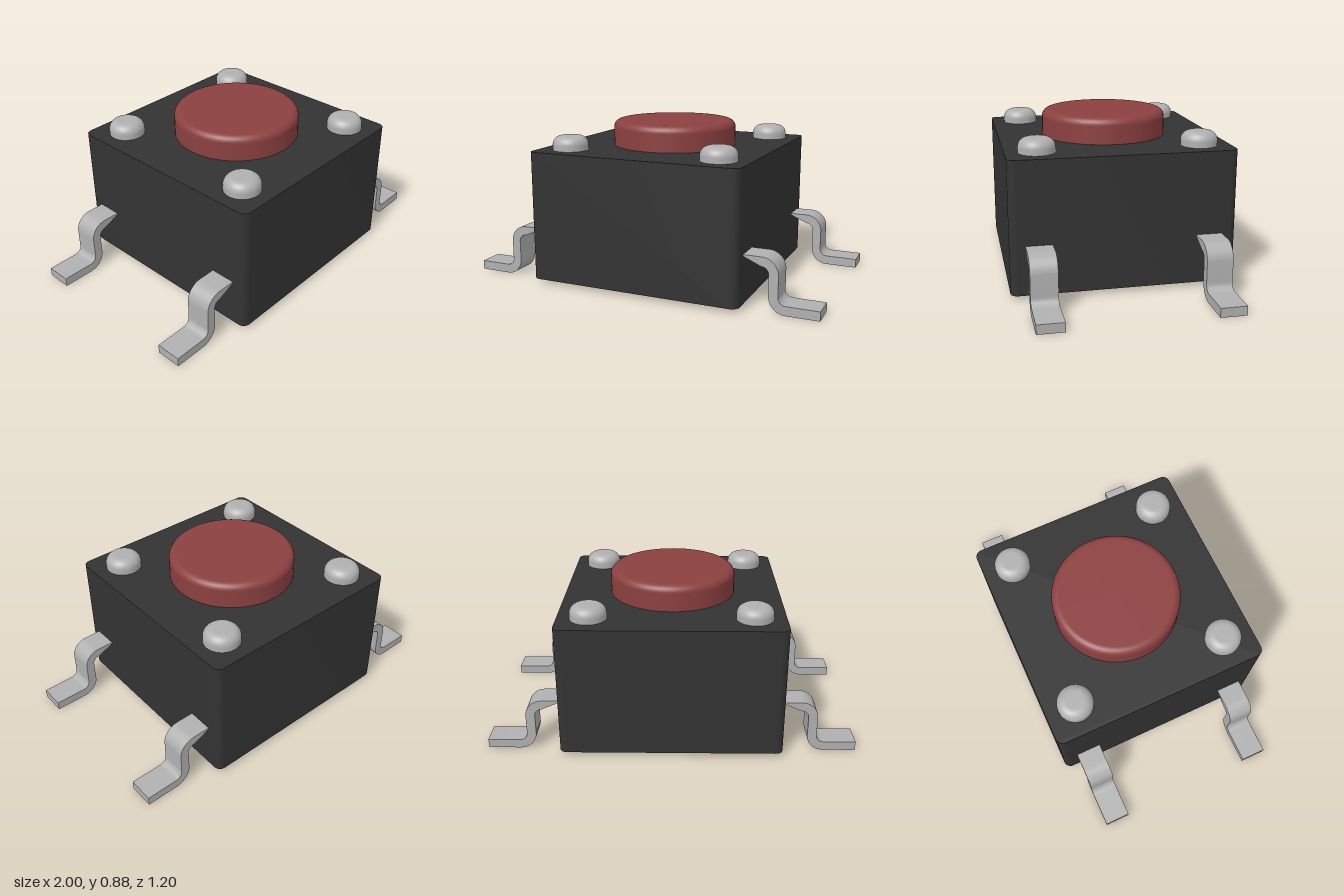
import * as THREE from 'three';
import { toCreasedNormals } from 'three/addons/utils/BufferGeometryUtils.js';

const HALF_PI = Math.PI / 2;

// Square outline with rounded corners
function roundedSquare(h, r) {
  const s = new THREE.Shape();
  s.absarc(h - r, h - r, r, 0, HALF_PI);
  s.absarc(-h + r, h - r, r, HALF_PI, Math.PI);
  s.absarc(-h + r, -h + r, r, Math.PI, 3 * HALF_PI);
  s.absarc(h - r, -h + r, r, 3 * HALF_PI, 4 * HALF_PI);
  s.closePath();
  return s;
}

// Round stud with a filleted top edge
function filletedDisc(radius, bottom, top, fillet) {
  const points = [new THREE.Vector2(radius, bottom)];
  for (let i = 0; i <= 8; i++) {
    const a = (i / 8) * HALF_PI;
    points.push(new THREE.Vector2(
      radius - fillet + fillet * Math.cos(a),
      top - fillet + fillet * Math.sin(a)
    ));
  }
  points.push(new THREE.Vector2(0, top));
  return new THREE.LatheGeometry(points, 64);
}

// Gull-wing lead: out of the body, down, then out along the board
function leadGeometry() {
  const width = 0.14, inner = 0.04, outer = 0.09;
  const s = new THREE.Shape();
  s.moveTo(0.58, 0.24);
  s.absarc(0.695, 0.2, inner, HALF_PI, 0, true);
  s.absarc(0.825, 0.09, outer, Math.PI, 3 * HALF_PI, false);
  s.lineTo(1, 0);
  s.lineTo(1, 0.05);
  s.absarc(0.825, 0.09, inner, 3 * HALF_PI, Math.PI, true);
  s.absarc(0.695, 0.2, outer, 0, HALF_PI, false);
  s.lineTo(0.58, 0.29);
  s.closePath();
  const g = new THREE.ExtrudeGeometry(s, { depth: width, bevelEnabled: false, curveSegments: 10 });
  g.translate(0, 0, -width / 2);
  return toCreasedNormals(g, 0.6);
}

export function createModel() {
  const plastic = new THREE.MeshStandardMaterial({ color: 0x333333 });
  plastic.name = 'black plastic';
  const red = new THREE.MeshStandardMaterial({ color: 0x8c4040 });
  red.name = 'red button';
  const metal = new THREE.MeshStandardMaterial({ color: 0xb0b0b0 });
  metal.name = 'grey metal';

  const model = new THREE.Group();
  model.name = 'pushButtonSwitch';
  const add = (name, geometry, material) => {
    const mesh = new THREE.Mesh(geometry, material);
    mesh.name = name;
    model.add(mesh);
    return mesh;
  };

  // Housing, raised slightly above the board
  const housing = new THREE.ExtrudeGeometry(roundedSquare(0.6, 0.04), {
    depth: 0.714, bevelEnabled: false, curveSegments: 8,
  });
  housing.rotateX(-HALF_PI);
  housing.translate(0, 0.023, 0);
  add('housing', toCreasedNormals(housing, 0.6), plastic);

  // Push button
  add('button', filletedDisc(0.347, 0.72, 0.878, 0.04), red);

  // Corner studs and leads, mirrored to all four corners
  const stud = filletedDisc(0.098, 0.72, 0.815, 0.05);
  const lead = leadGeometry();
  for (const sx of [1, -1]) {
    for (const sz of [1, -1]) {
      const name = (sz > 0 ? 'front' : 'back') + (sx > 0 ? 'Left' : 'Right');
      add(name + 'Stud', stud, metal).position.set(0.433 * sx, 0, 0.433 * sz);
      const leg = add(name + 'Lead', lead, metal);
      leg.position.z = 0.45 * sz;
      if (sx < 0) leg.rotation.y = Math.PI;
    }
  }
  return model;
}
